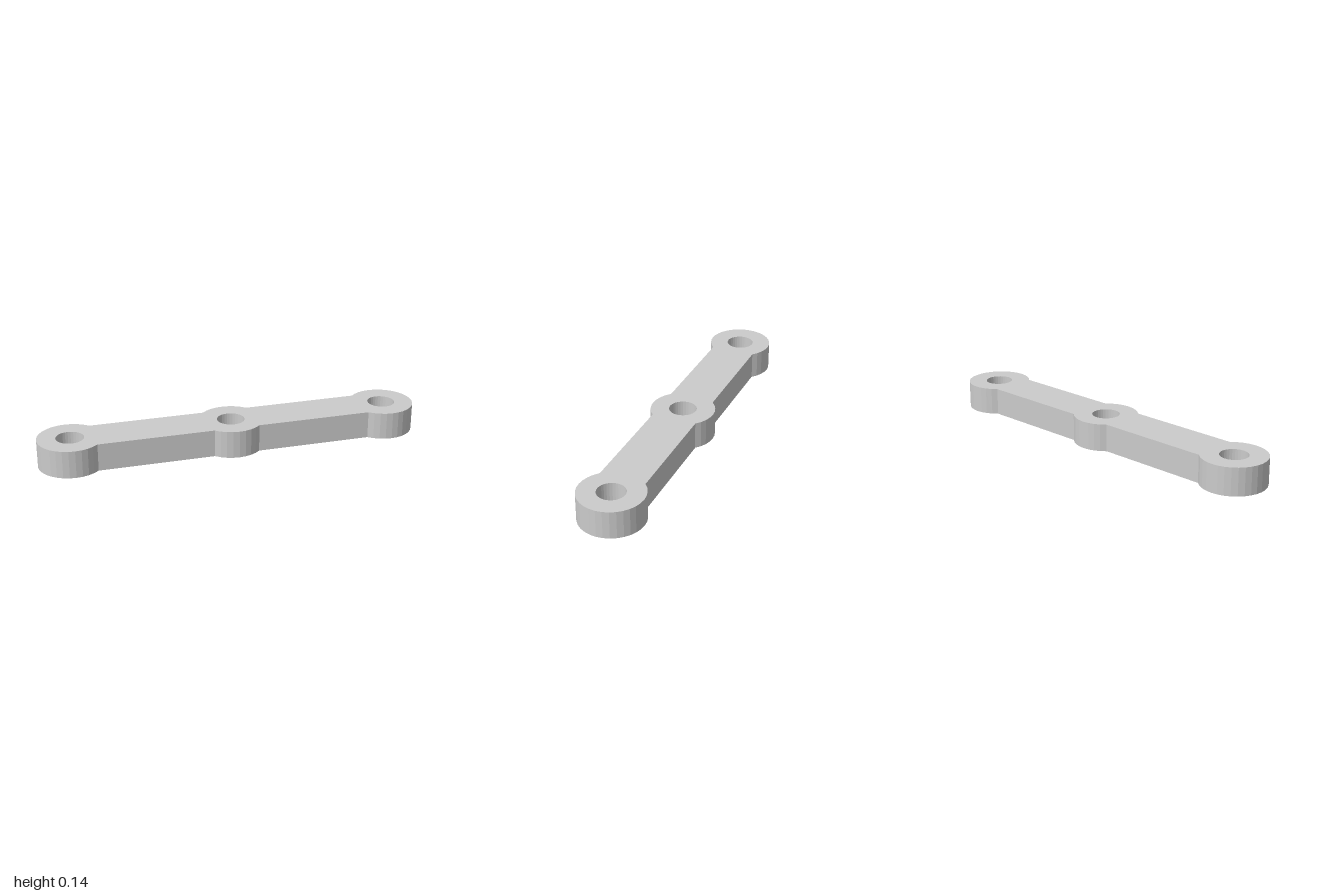
import * as THREE from 'three';

const BOSS_R = 1 / 6;     // outer radius of each eye
const HOLE_R = 3 / 42;    // pin hole radius
const HEIGHT = 6 / 42;
const PITCH = 5 / 6;      // distance between hole centres
const STEP = Math.PI / 16; // 32-sided circles

// Points on a 32-sided circle, from step a to step b inclusive
function arc(cx, r, a, b) {
  const points = [];
  for (let i = a; i <= b; i++) {
    points.push(new THREE.Vector2(cx + r * Math.cos(i * STEP), r * Math.sin(i * STEP)));
  }
  return points;
}

export function createModel() {
  const group = new THREE.Group();
  group.name = 'linkBar';

  // Outline: the straight bar edges join the eyes at 45 degrees
  const shape = new THREE.Shape([
    ...arc(PITCH, BOSS_R, -12, 12),  // left end eye
    ...arc(0, BOSS_R, 4, 12),        // middle eye, back
    ...arc(-PITCH, BOSS_R, 4, 28),   // right end eye
    ...arc(0, BOSS_R, 20, 28),       // middle eye, front
  ]);

  // Pin holes
  for (const x of [-PITCH, 0, PITCH]) {
    shape.holes.push(new THREE.Path(arc(x, HOLE_R, 0, 31)));
  }

  const geometry = new THREE.ExtrudeGeometry(shape, { depth: HEIGHT, bevelEnabled: false });
  geometry.rotateX(-Math.PI / 2);

  const bar = new THREE.Mesh(
    geometry,
    new THREE.MeshStandardMaterial({ color: 0xcccccc, flatShading: true })
  );
  bar.name = 'threeHoleBar';
  group.add(bar);
  return group;
}
